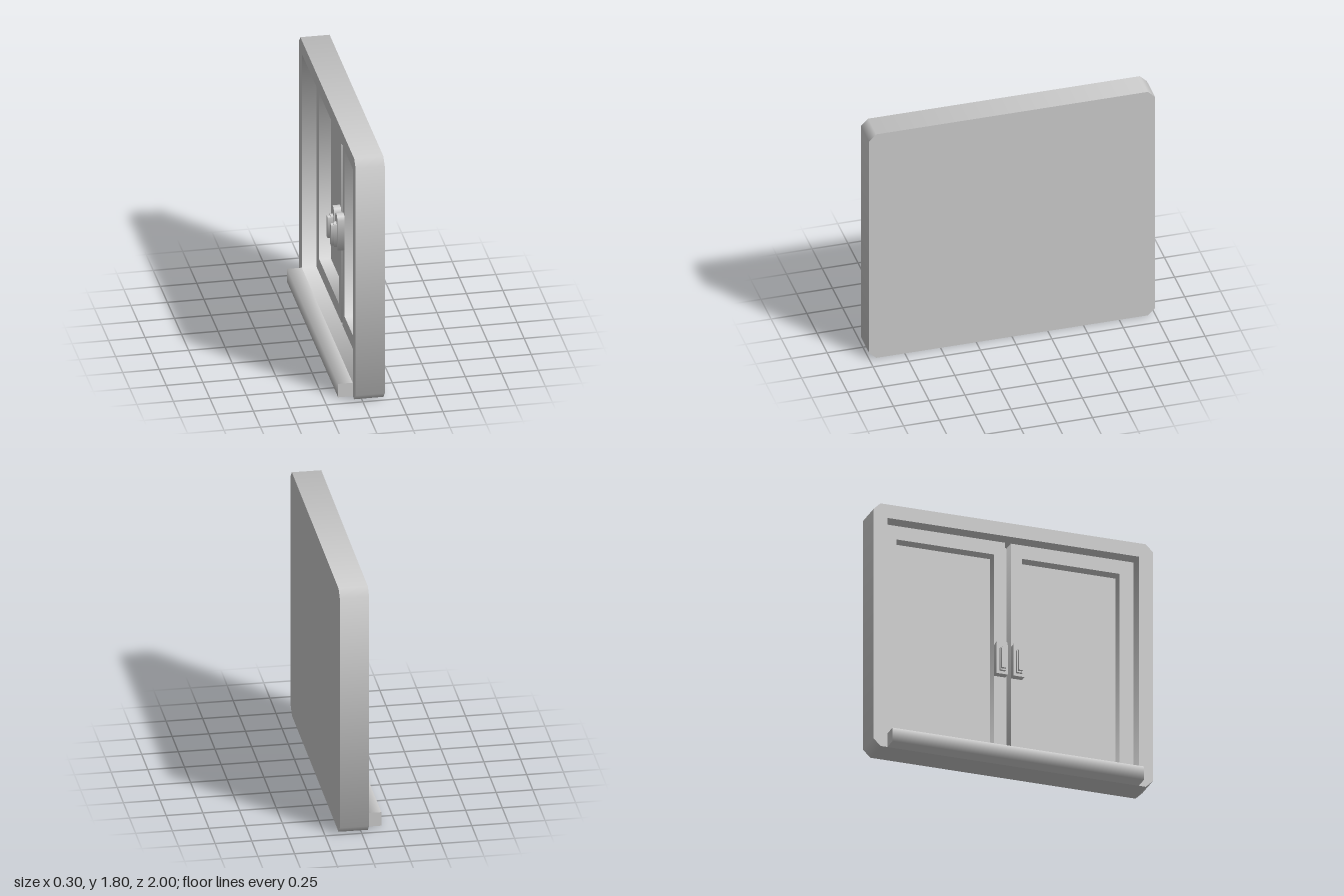
import * as THREE from 'three';
import { mergeGeometries } from 'three/addons/utils/BufferGeometryUtils.js';

const grey = new THREE.MeshStandardMaterial({ color: 0xcccccc });
grey.name = 'light grey';

const rect = (x0, y0, x1, y1) => [[x0, y0], [x1, y0], [x1, y1], [x0, y1]];

// Side wall along a counterclockwise outline, shaded smoothly around its corners
function wall(points, z0, z1, inward) {
  const n = points.length, position = [], normal = [], uv = [], index = [];
  const edgeNormal = (i) => {
    const a = points[(i + n) % n], b = points[(i + 1) % n];
    return new THREE.Vector2(b[1] - a[1], a[0] - b[0]).normalize();
  };
  points.forEach(([x, y], i) => {
    const v = edgeNormal(i - 1).add(edgeNormal(i)).normalize().multiplyScalar(inward ? -1 : 1);
    for (const z of [z0, z1]) {
      position.push(x, y, z);
      normal.push(v.x, v.y, 0);
      uv.push(0, 0);
    }
    const a = 2 * i, b = 2 * ((i + 1) % n);
    if (inward) index.push(a, b + 1, b, a, a + 1, b + 1);
    else index.push(a, b, b + 1, a, b + 1, a + 1);
  });
  const g = new THREE.BufferGeometry();
  g.setAttribute('position', new THREE.Float32BufferAttribute(position, 3));
  g.setAttribute('normal', new THREE.Float32BufferAttribute(normal, 3));
  g.setAttribute('uv', new THREE.Float32BufferAttribute(uv, 2));
  g.setIndex(index);
  return g;
}

// Prism with flat caps; an optional hole runs in from the front cap
function prism(name, points, z0, z1, hole, closedBack = false) {
  const shape = () => new THREE.Shape(points.map((p) => new THREE.Vector2(...p)));
  const holePath = hole && new THREE.Path(hole.map((p) => new THREE.Vector2(...p)));
  const front = shape(), back = shape();
  if (hole) {
    front.holes.push(holePath);
    if (!closedBack) back.holes.push(holePath);
  }
  const backCap = new THREE.ShapeGeometry(back);
  const idx = backCap.index.array;
  for (let i = 0; i < idx.length; i += 3) [idx[i], idx[i + 1]] = [idx[i + 1], idx[i]];
  const normals = backCap.attributes.normal;
  for (let i = 0; i < normals.count; i++) normals.setZ(i, -1);
  const parts = [
    new THREE.ShapeGeometry(front).translate(0, 0, z1),
    backCap.translate(0, 0, z0),
    wall(points, z0, z1, false),
  ];
  if (hole) parts.push(wall(hole, z0, z1, true));
  const mesh = new THREE.Mesh(mergeGeometries(parts), grey);
  mesh.name = name;
  return mesh;
}

// Upright tab with a round top
function tab(cx, r, y0, y1) {
  const points = [[cx - r, y0], [cx + r, y0]];
  for (let i = 0; i <= 8; i++) {
    const a = (Math.PI * i) / 8;
    points.push([cx + r * Math.cos(a), y1 - r + r * Math.sin(a)]);
  }
  return points;
}

export function createModel() {
  const model = new THREE.Group();
  model.name = 'window';

  // The window is drawn facing +z, then turned to face -x
  const panel = new THREE.Group();
  panel.name = 'windowPanel';
  panel.rotation.y = -Math.PI / 2;
  model.add(panel);

  // Outer frame with chamfered corners and a closed back
  const c = 0.05;
  const outline = [[-1 + c, 0], [1 - c, 0], [1, c], [1, 1.8 - c],
    [1 - c, 1.8], [-1 + c, 1.8], [-1, 1.8 - c], [-1, c]];
  panel.add(prism('frame', outline, -0.15, 0.05, rect(-0.9, 0.1, 0.9, 1.7), true));

  // Pane behind both sashes
  const pane = new THREE.Mesh(new THREE.PlaneGeometry(1.8, 1.6), grey);
  pane.name = 'pane';
  pane.position.set(0, 0.9, -0.13);
  panel.add(pane);

  // Two sashes, each with a handle on its inner stile
  for (const s of [-1, 1]) {
    const span = (a, b, y0, y1) => rect(Math.min(s * a, s * b), y0, Math.max(s * a, s * b), y1);
    panel.add(prism('sash', span(0.02, 0.9, 0.1, 1.7), -0.13, -0.05, span(0.1, 0.8, 0.2, 1.6)));

    const handle = new THREE.Group();
    handle.name = 'handle';
    const x = s * 0.06;
    handle.add(prism('handlePlate', tab(x, 0.04, 0.7, 0.96), -0.05, 0));
    handle.add(prism('handleNeck', tab(x, 0.02, 0.72, 0.9), 0, 0.02));
    handle.add(prism('handleLever', tab(x, 0.015, 0.73, 0.89), 0.02, 0.04));
    panel.add(handle);
  }

  // Sill along the foot of the frame
  model.add(prism('sill', rect(-0.15, 0, -0.05, 0.1), -0.9, 0.9));
  return model;
}
